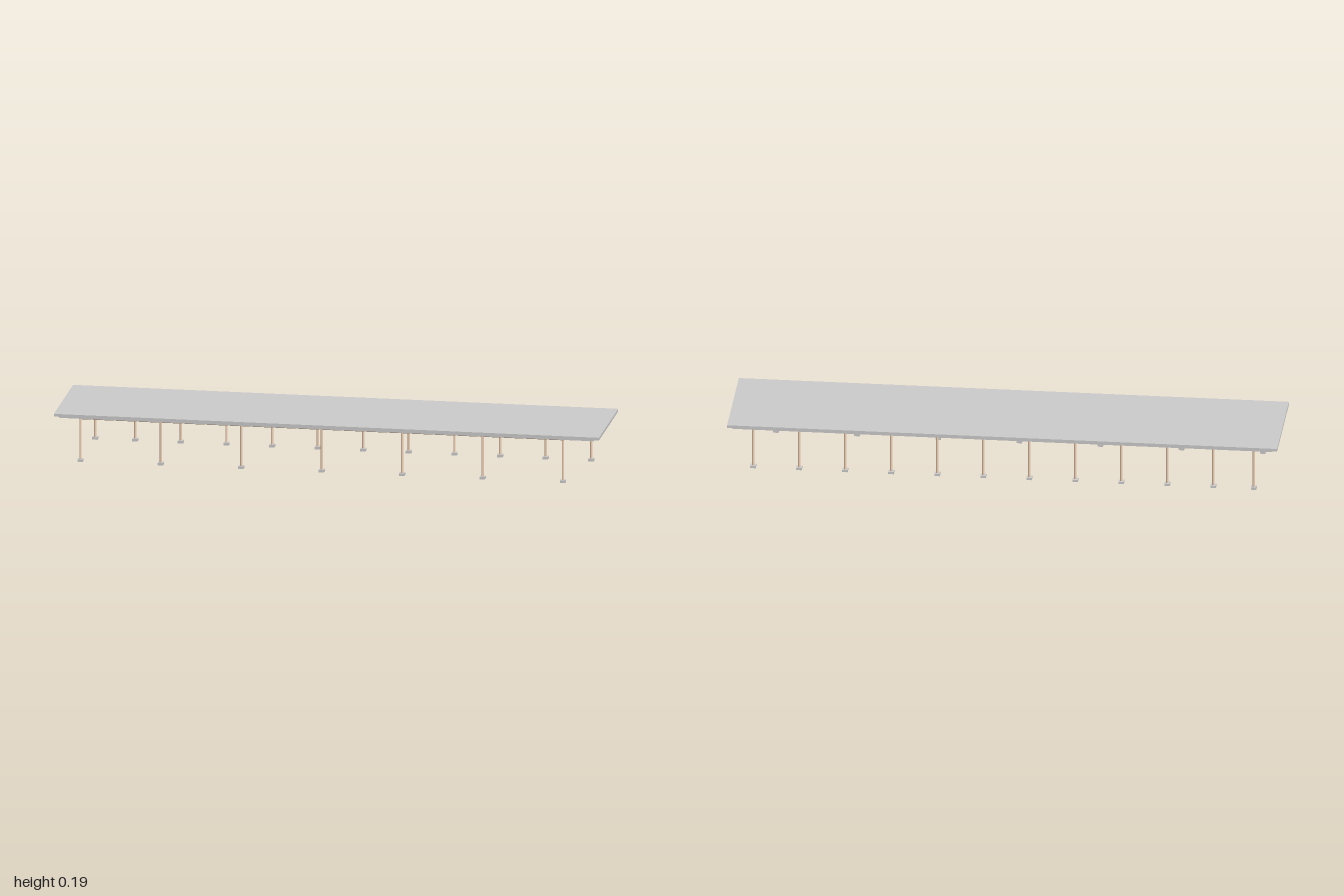
import * as THREE from 'three';

export function createModel() {
  const model = new THREE.Group();
  const grey = new THREE.MeshStandardMaterial({ color: 0xcccccc });
  const wood = new THREE.MeshStandardMaterial({ color: 0xf0d0b4 });

  const add = (parent, name, geometry, material, x, y, z) => {
    const mesh = new THREE.Mesh(geometry, material);
    mesh.name = name;
    mesh.position.set(x, y, z);
    parent.add(mesh);
    return mesh;
  };

  // Flat roof: top slab with a thin, slightly inset layer beneath
  add(model, 'roofSlab', new THREE.BoxGeometry(2, 0.01, 0.414), grey, 0, 0.18, 0);
  add(model, 'roofUnderside', new THREE.BoxGeometry(1.96, 0.005, 0.406), grey, 0, 0.1725, 0);

  // Shared post and foot shapes
  const radius = 0.0045;
  const beamY = 0.1615;
  const footHeight = 0.009;
  const postHeight = beamY - footHeight;
  const postGeometry = new THREE.CylinderGeometry(radius, radius, postHeight, 16);
  const footGeometry = new THREE.BoxGeometry(0.02, footHeight, 0.02);

  // A row of posts on feet, joined by a round beam along the top
  function addRow(name, xs, z) {
    const row = new THREE.Group();
    row.name = name;
    const start = Math.min(...xs) - radius;
    const end = Math.max(...xs) + radius;
    const beam = add(row, 'beam', new THREE.CylinderGeometry(radius, radius, end - start, 16),
      wood, (start + end) / 2, beamY, z);
    beam.rotation.z = Math.PI / 2;
    for (const x of xs) {
      add(row, 'post', postGeometry, wood, x, footHeight + postHeight / 2, z);
      add(row, 'foot', footGeometry, grey, x, footHeight / 2, z);
    }
    model.add(row);
  }

  // Seven wide-spaced posts in front, twelve closer ones behind
  addRow('frontRow', Array.from({ length: 7 }, (_, i) => -0.91 + i * 0.295), 0.16);
  addRow('backRow', Array.from({ length: 12 }, (_, i) => Math.max(-0.91, 0.91 - i * 0.1673)), -0.156);

  return model;
}
